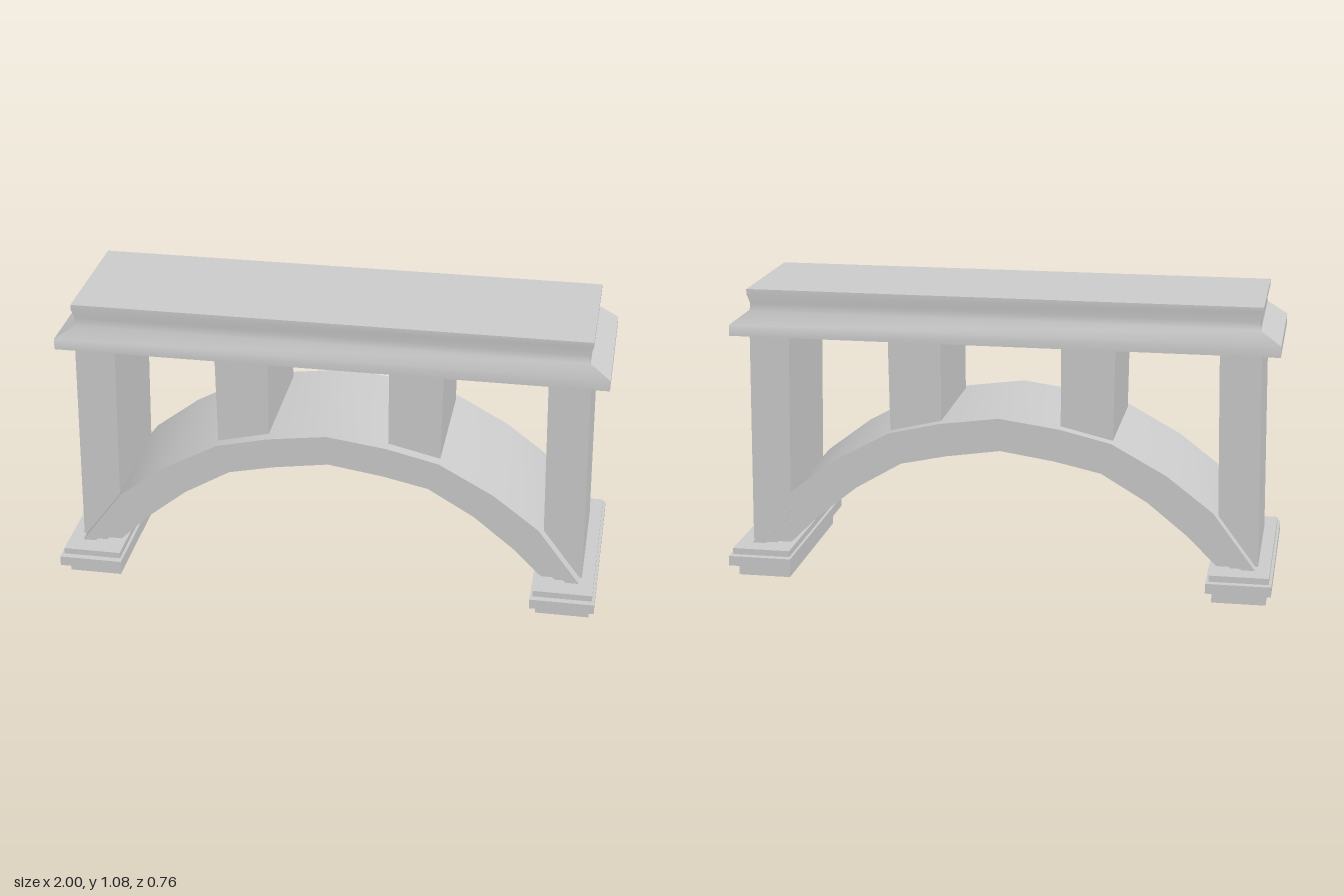
import * as THREE from 'three';
import { toCreasedNormals } from 'three/addons/utils/BufferGeometryUtils.js';

const material = new THREE.MeshStandardMaterial({ color: 0xcccccc });

function addMesh(parent, name, geometry) {
  const mesh = new THREE.Mesh(geometry, material);
  mesh.name = name;
  parent.add(mesh);
  return mesh;
}

// Closed stack of rectangles, each ring = [y, xMin, xMax, halfDepth], listed from bottom to top
function rectangleLoft(rings) {
  const positions = [];
  const corners = ([y, x0, x1, d]) => [[x0, y, d], [x1, y, d], [x1, y, -d], [x0, y, -d]];
  const quad = (a, b, c, d) => positions.push(...a, ...b, ...c, ...a, ...c, ...d);
  const loops = rings.map(corners);
  for (let i = 0; i < loops.length - 1; i++) {
    const lo = loops[i], hi = loops[i + 1];
    for (let k = 0; k < 4; k++) {
      const n = (k + 1) % 4;
      quad(lo[k], lo[n], hi[n], hi[k]);
    }
  }
  const [a, b, c, d] = loops[0];
  quad(d, c, b, a);
  quad(...loops[loops.length - 1]);
  const geometry = new THREE.BufferGeometry();
  geometry.setAttribute('position', new THREE.Float32BufferAttribute(positions, 3));
  return toCreasedNormals(geometry, 0.5);
}

// Half outlines of the arch, from crown to foot
const OUTER = [[0, 0.64], [0.22, 0.61], [0.41, 0.565], [0.61, 0.455], [0.78, 0.325], [0.94, 0.11]];
const INNER = [[0, 0.51], [0.2, 0.48], [0.37, 0.443], [0.54, 0.342], [0.69, 0.22], [0.8, 0.11]];

// Full line across the arch, t = 0 on the outer edge and 1 on the inner edge
function archLine(t) {
  const half = OUTER.map(([x, y], i) => new THREE.Vector2(
    THREE.MathUtils.lerp(x, INNER[i][0], t),
    THREE.MathUtils.lerp(y, INNER[i][1], t)
  ));
  const mirrored = half.slice(1).reverse().map((p) => new THREE.Vector2(-p.x, p.y));
  return [...mirrored, ...half];
}

function archBand(t0, t1, halfDepth) {
  const shape = new THREE.Shape([...archLine(t0), ...archLine(t1).reverse()]);
  const geometry = new THREE.ExtrudeGeometry(shape, { depth: halfDepth * 2, bevelEnabled: false });
  geometry.translate(0, 0, -halfDepth);
  return toCreasedNormals(geometry, 0.5);
}

export function createModel() {
  const model = new THREE.Group();
  model.name = 'archBridge';

  // Deck with a waisted moulding all round
  addMesh(model, 'deck', rectangleLoft([
    [0.905, -1, 1, 0.27],
    [0.945, -1, 1, 0.27],
    [0.995, -0.927, 0.927, 0.247],
    [1.025, -0.924, 0.924, 0.246],
    [1.06, -0.935, 0.935, 0.252],
    [1.078, -0.935, 0.935, 0.252],
  ]));

  // Arch in three bands, each stepped back from the one above
  const arch = new THREE.Group();
  arch.name = 'arch';
  model.add(arch);
  addMesh(arch, 'outerBand', archBand(0, 0.35, 0.28));
  addMesh(arch, 'middleBand', archBand(0.35, 0.64, 0.265));
  addMesh(arch, 'innerBand', archBand(0.64, 1, 0.25));

  // Piers and footings, the same at both ends
  for (const [side, s] of [['left', 1], ['right', -1]]) {
    const block = (name, rings) => addMesh(model, side + name, rectangleLoft(
      rings.map(([y, a, b, d]) => [y, Math.min(s * a, s * b), Math.max(s * a, s * b), d])
    ));
    block('EndPier', [[0.11, 0.8, 0.945, 0.236], [0.91, 0.785, 0.933, 0.236]]);
    block('MiddlePier', [[0.53, 0.22, 0.41, 0.236], [0.91, 0.22, 0.415, 0.236]]);
    block('Footing', [
      [0, 0.785, 0.98, 0.32],
      [0.055, 0.785, 0.98, 0.32],
      [0.055, 0.765, 1, 0.38],
      [0.092, 0.765, 1, 0.38],
      [0.092, 0.775, 0.99, 0.355],
      [0.115, 0.775, 0.99, 0.355],
    ]);
  }

  return model;
}
